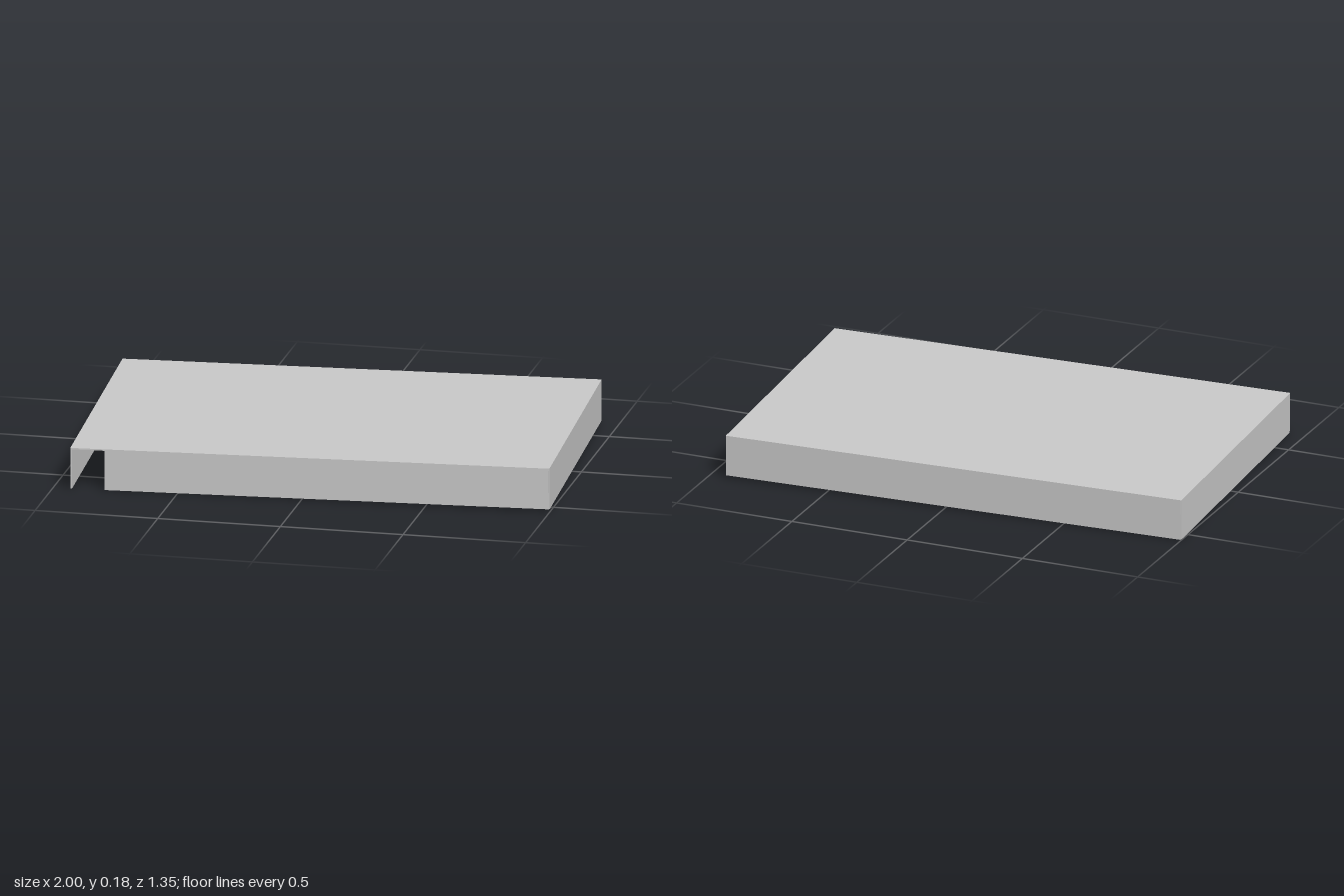
import * as THREE from 'three';

const H = 0.166;      // wall height
const T = 0.006;      // sheet thickness
const HX = 0.966, HZ = 0.622;

export function createModel() {
  const root = new THREE.Group();
  root.name = 'floorPlanShell';
  const house = new THREE.Group();
  house.name = 'house';
  root.add(house);
  const mat = new THREE.MeshStandardMaterial({ color: 0xcccccc, side: THREE.DoubleSide, flatShading: true });

  // Upright sheet between two plan points
  function wall(name, [x0, z0], [x1, z1]) {
    const len = Math.hypot(x1 - x0, z1 - z0);
    const m = new THREE.Mesh(new THREE.BoxGeometry(len, H, T), mat);
    m.position.set((x0 + x1) / 2, H / 2, (z0 + z1) / 2);
    m.rotation.y = -Math.atan2(z1 - z0, x1 - x0);
    m.name = name;
    house.add(m);
  }
  // Chain of sheets through plan points
  function run(name, pts) {
    for (let i = 1; i < pts.length; i++) wall(name, pts[i - 1], pts[i]);
  }

  // Flat roof
  const roof = new THREE.Mesh(new THREE.BoxGeometry(2 * HX, 0.006, 2 * HZ), mat);
  roof.position.y = H;
  roof.name = 'roof';
  house.add(roof);

  // Outer shell, open at the front entrance, with its inner jamb
  const ox = HX - T / 2, oz = HZ - T / 2;
  run('outerWall', [[-ox, oz], [-ox, -oz], [ox, -oz], [ox, oz], [-0.826, oz], [-0.826, 0.42]]);

  // Large room on the left, with a partition and a closet
  run('leftRoomWall', [[0.235, 0.165], [0.235, -0.505], [0.886, -0.505], [0.886, -0.245], [0.45, -0.245],
    [0.45, -0.17], [0.385, -0.17], [0.385, 0.165], [0.235, 0.165]].slice(0, 5));
  run('leftRoomWall', [[0.45, -0.245], [0.45, -0.17], [0.886, -0.17], [0.886, 0.505], [0.035, 0.505], [0.035, 0.28]]);
  run('closetWall', [[0.385, -0.17], [0.385, 0.2]]);
  run('closetWall', [[0.385, 0.2], [0.235, 0.165]]);

  // Middle room
  run('middleRoomWall', [[0.125, 0.175], [0.125, -0.505], [-0.32, -0.505], [-0.32, 0.175], [0.125, 0.175]]);

  // Corridor in front of the middle room
  run('corridorWall', [[0.035, 0.28], [-0.1, 0.28]]);
  run('corridorWall', [[-0.2, 0.28], [-0.4, 0.28]]);

  // Right room with a corner closet
  run('rightRoomWall', [[-0.4, 0.05], [-0.4, -0.505], [-0.52, -0.505], [-0.52, -0.37], [-0.715, -0.37],
    [-0.715, -0.505], [-0.85, -0.505], [-0.85, -0.28], [-0.83, -0.28], [-0.83, 0.295], [-0.5, 0.295],
    [-0.5, 0.05], [-0.4, 0.05]]);

  // Slight turn and tilt of the whole shell
  house.rotation.set(0.001, 0.056, 0.0055);
  house.position.y = 0.007;
  return root;
}
